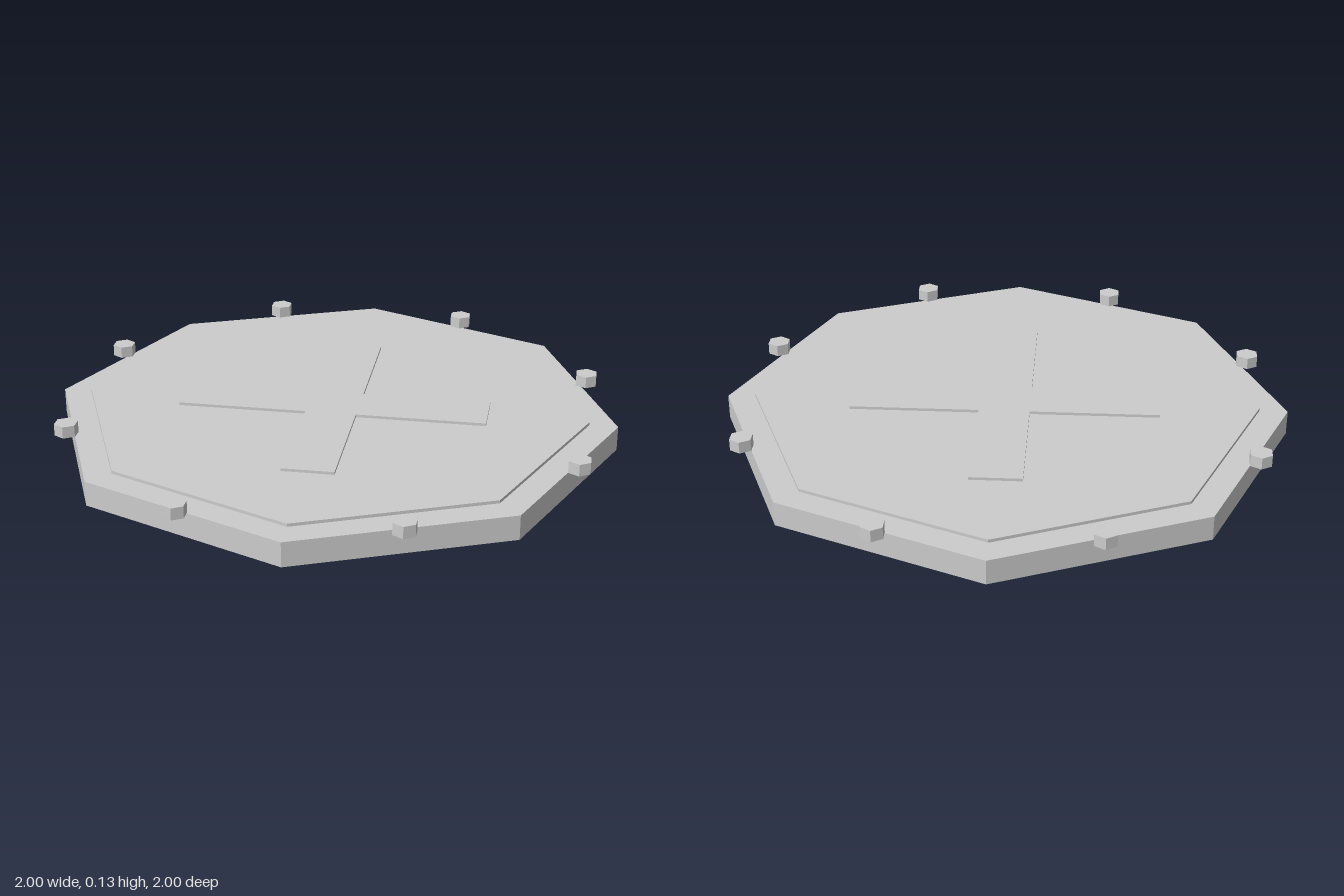
import * as THREE from 'three';

export function createModel() {
  const model = new THREE.Group();
  model.name = 'octagonalHatch';
  const metal = new THREE.MeshStandardMaterial({ color: 0xcccccc, flatShading: true });
  metal.name = 'plain grey';

  // Upright prism standing between two heights
  function prism(name, radius, sides, bottom, top, x = 0, z = 0) {
    const mesh = new THREE.Mesh(new THREE.CylinderGeometry(radius, radius, top - bottom, sides), metal);
    mesh.name = name;
    mesh.position.set(x, (bottom + top) / 2, z);
    model.add(mesh);
  }

  const rimTop = 0.087, lidTop = 0.098, crossTop = 0.108, boltTop = 0.129;

  // Base slab and the raised lid on it
  prism('base', 1, 8, 0, rimTop);
  prism('lid', 0.9, 8, rimTop, lidTop);

  // Raised cross as one outline, arms along x and z
  const a = 0.09, b = 0.547;
  const outline = [
    [a, a], [a, b], [-a, b], [-a, a], [-b, a], [-b, -a],
    [-a, -a], [-a, -b], [a, -b], [a, -a], [b, -a], [b, a],
  ].map(([x, y]) => new THREE.Vector2(x, y));
  const crossGeometry = new THREE.ExtrudeGeometry(new THREE.Shape(outline), {
    depth: crossTop - lidTop, bevelEnabled: false,
  });
  crossGeometry.rotateX(-Math.PI / 2);
  const cross = new THREE.Mesh(crossGeometry, metal);
  cross.name = 'raisedCross';
  cross.position.y = lidTop;
  model.add(cross);

  // Hexagonal bolts at the middle of each rim edge
  for (let i = 0; i < 8; i++) {
    const angle = (i + 0.5) * Math.PI / 4;
    prism('bolt' + (i + 1), 0.042, 6, rimTop, boltTop, 0.95 * Math.cos(angle), 0.95 * Math.sin(angle));
  }
  return model;
}
